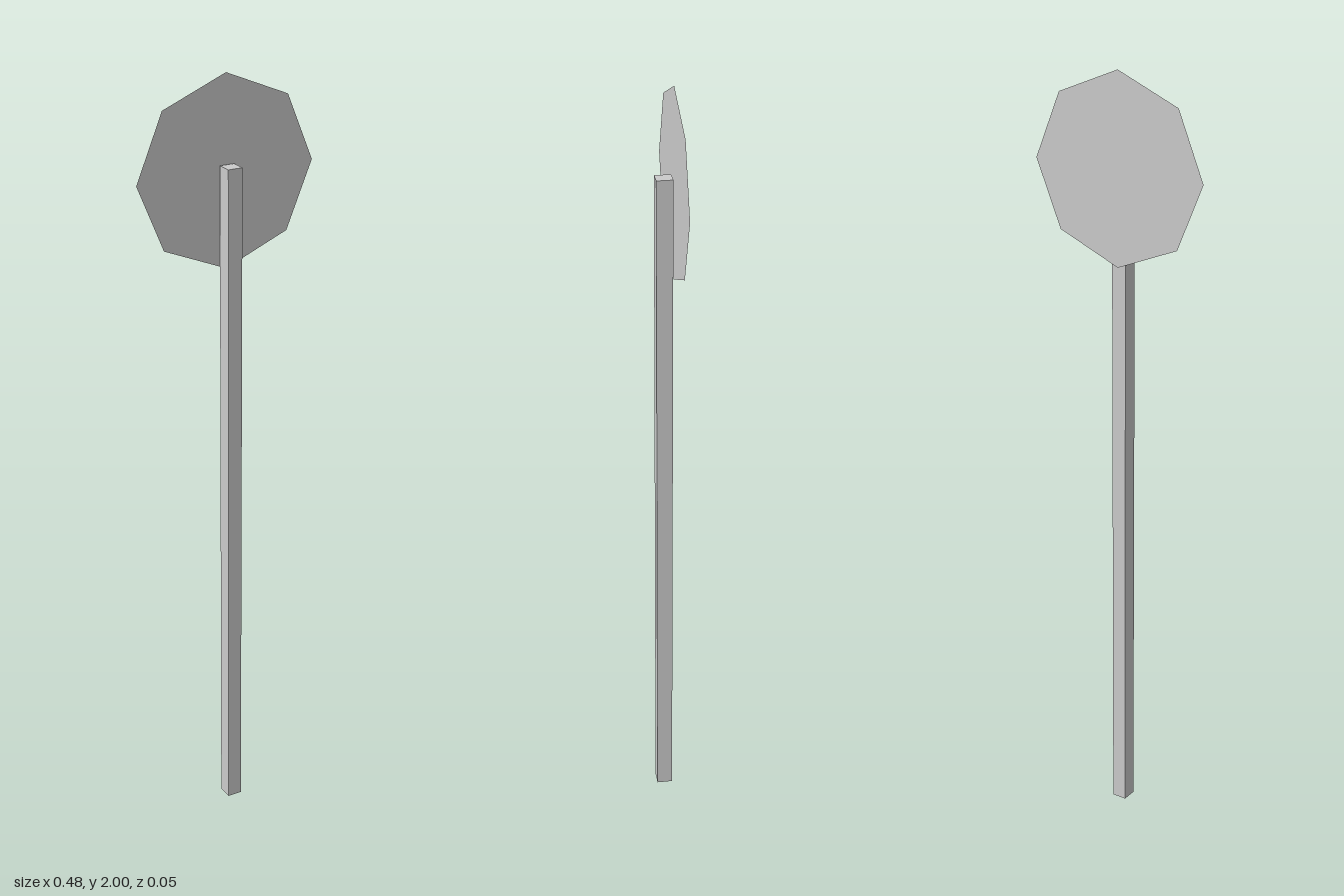
import * as THREE from 'three';

export function createModel() {
  const model = new THREE.Group();
  model.name = 'roadSign';

  // Square post standing on the ground
  const postHeight = 1.778;
  const post = new THREE.Mesh(
    new THREE.BoxGeometry(0.039, postHeight, 0.041),
    new THREE.MeshStandardMaterial({ color: 0xcccccc, flatShading: true })
  );
  post.name = 'post';
  post.position.set(0, postHeight / 2, 0.002);
  model.add(post);

  // Thin eight-sided plate behind the post, one corner pointing up
  const radius = 0.242;
  const plate = new THREE.Mesh(
    new THREE.CircleGeometry(radius, 8),
    new THREE.MeshStandardMaterial({ color: 0xcccccc, flatShading: true, side: THREE.DoubleSide })
  );
  plate.name = 'signPlate';
  plate.position.set(0, 2 - radius, -0.0225);
  model.add(plate);

  return model;
}
